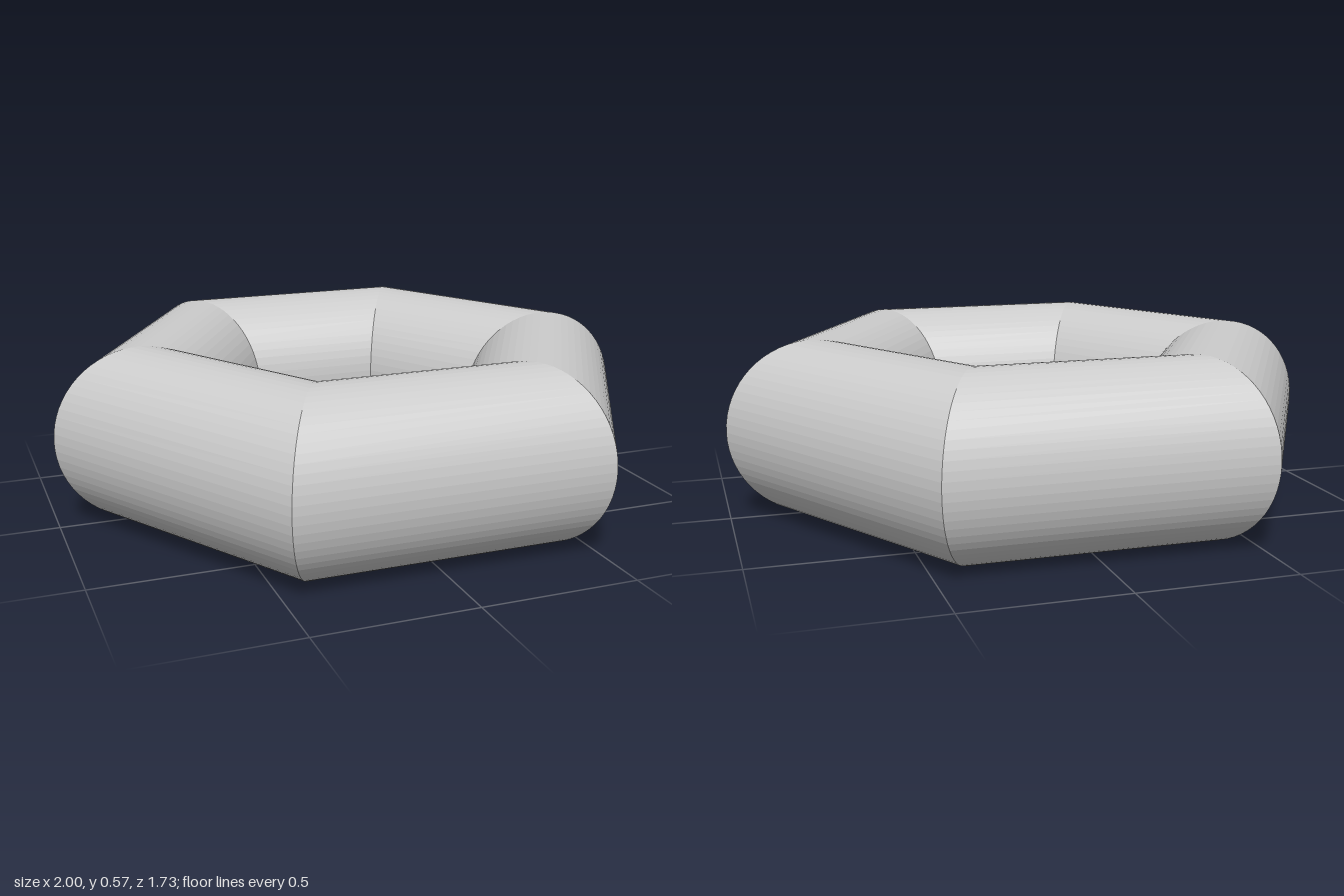
import * as THREE from 'three';

const TUBE_RADIUS = 2 / 7;
const RING_RADIUS = 1 - TUBE_RADIUS;
const SIDES = 6;
const TUBE_FACETS = 64;

export function createModel() {
  const group = new THREE.Group();
  group.name = 'hexagonalRing';

  // Round tube bent into six straight, mitred lengths, corners on the x axis
  const geometry = new THREE.TorusGeometry(RING_RADIUS, TUBE_RADIUS, TUBE_FACETS, SIDES);
  geometry.rotateX(-Math.PI / 2);
  geometry.translate(0, TUBE_RADIUS, 0);

  const material = new THREE.MeshStandardMaterial({ color: 0xcccccc, flatShading: true });
  const ring = new THREE.Mesh(geometry, material);
  ring.name = 'ring';
  group.add(ring);
  return group;
}
